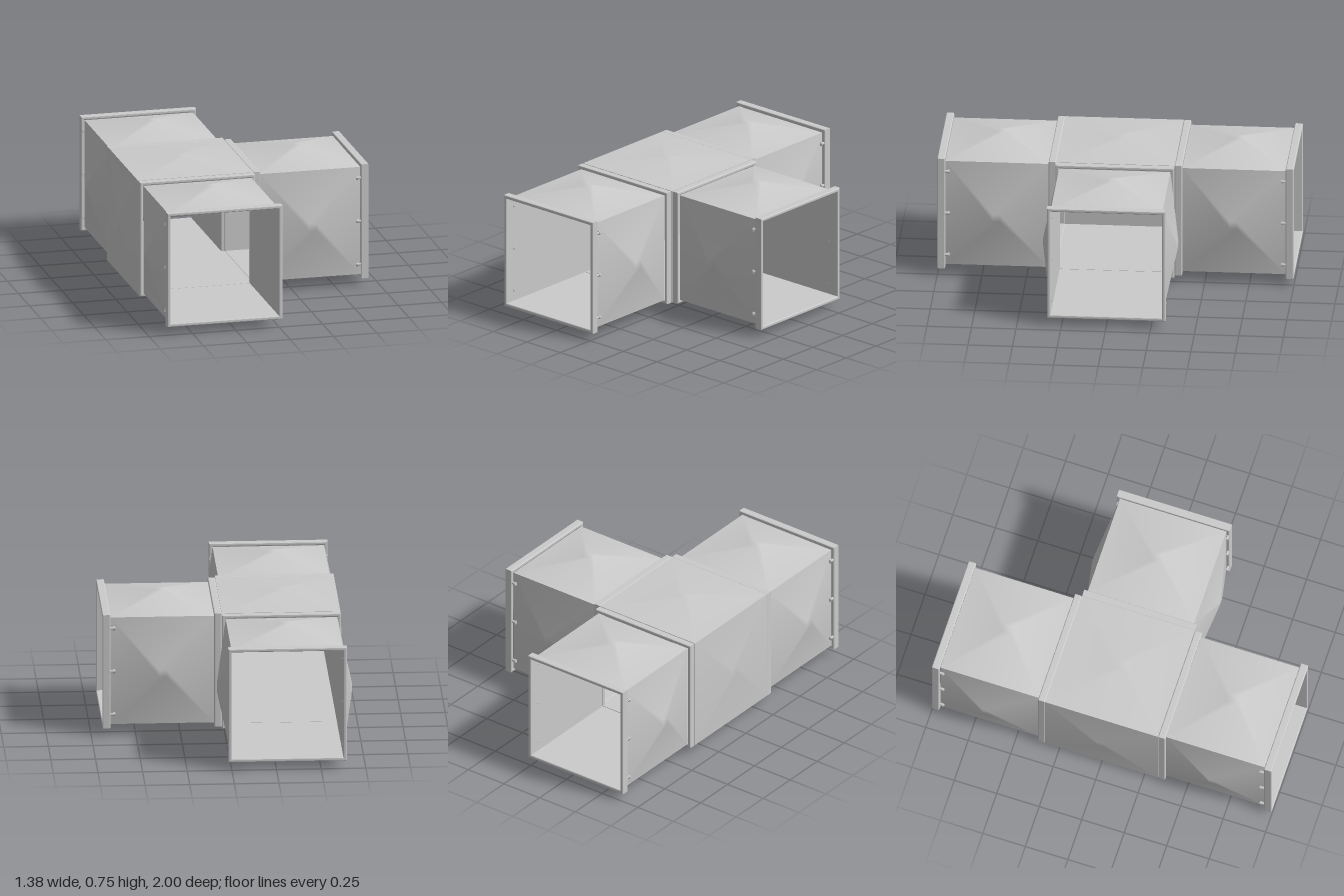
import * as THREE from 'three';

const IN = 0.3125, OUT = 0.3325;          // inner and outer half width of the duct
const START = OUT, END = 1.0;             // arm extent measured from the junction
const COLLAR = 0.042, FLANGE = 0.045;

const metal = new THREE.MeshStandardMaterial({ color: 0xcccccc });

function add(parent, name, geometry) {
  const mesh = new THREE.Mesh(geometry, metal);
  mesh.name = name;
  parent.add(mesh);
  return mesh;
}

// Shallow four-sided pyramid with a tiny blunt tip, rising along +y
function bulgedPanel(halfX, halfZ, rise) {
  const tip = 0.02, pos = [];
  for (const [x, z, y] of [[halfX, halfZ, 0], [tip, tip, rise]])
    pos.push(-x, y, -z, -x, y, z, x, y, z, x, y, -z);
  const index = [4, 5, 6, 4, 6, 7];
  for (let i = 0; i < 4; i++) {
    const j = (i + 1) % 4;
    index.push(i, j, 4 + j, i, 4 + j, 4 + i);
  }
  const g = new THREE.BufferGeometry();
  g.setAttribute('position', new THREE.Float32BufferAttribute(pos, 3));
  g.setIndex(index);
  g.computeVertexNormals();
  return g;
}

// Square frame with softened edges, from z = 0 to z = depth
function squareFrame(depth) {
  const square = (path, h) => path.moveTo(-h, -h).lineTo(h, -h).lineTo(h, h).lineTo(-h, h).closePath();
  const shape = new THREE.Shape();
  square(shape, OUT);
  const hole = new THREE.Path();
  square(hole, IN);
  shape.holes.push(hole);
  const b = 0.006;
  return new THREE.ExtrudeGeometry(shape, {
    depth: depth - 2 * b, bevelEnabled: true, bevelSize: b, bevelOffset: -b, bevelThickness: b, bevelSegments: 3,
  }).translate(0, 0, b);
}

// One arm running along +z
function makeArm(name) {
  const arm = new THREE.Group();
  arm.name = name;
  add(arm, 'collar', squareFrame(COLLAR)).position.z = START;
  add(arm, 'endFlange', squareFrame(FLANGE)).position.z = END - FLANGE;

  const from = START + COLLAR, to = END - FLANGE;
  const mid = (from + to) / 2, half = (to - from) / 2;
  for (let i = 0; i < 4; i++) {
    const side = new THREE.Group();
    side.name = 'ductSide';
    side.rotation.z = i * Math.PI / 2;
    arm.add(side);
    add(side, 'bulgedPanel', bulgedPanel(IN, half, 0.065)).position.set(0, IN, mid);
    // Flat lining facing the inside of the duct
    const lining = new THREE.PlaneGeometry(2 * IN, END - START - 0.01).rotateX(Math.PI / 2);
    add(side, 'innerLining', lining).position.set(0, IN - 0.0005, (START + END) / 2);
  }

  // Small bolts behind the flange on the two upright sides
  for (const s of [-1, 1]) for (const y of [-0.252, 0, 0.252]) {
    const shank = new THREE.CylinderGeometry(0.008, 0.008, 0.03, 8).rotateX(Math.PI / 2);
    add(arm, 'boltShank', shank).position.set(s * 0.322, y, to - 0.012);
    const head = new THREE.CylinderGeometry(0.012, 0.012, 0.009, 6).rotateX(Math.PI / 2);
    add(arm, 'boltHead', head).position.set(s * 0.322, y, to - 0.02);
  }
  return arm;
}

// Central box: closed above, below and on one side
function makeJunction() {
  const junction = new THREE.Group();
  junction.name = 'junction';
  const t = OUT - IN;
  for (const [name, angle] of [['top', 0], ['closedSide', Math.PI / 2], ['bottom', Math.PI]]) {
    const wall = new THREE.Group();
    wall.name = name;
    wall.rotation.z = angle;
    junction.add(wall);
    add(wall, name + 'Wall', new THREE.BoxGeometry(2 * OUT, t, 2 * OUT)).position.y = (IN + OUT) / 2;
    add(wall, name + 'Panel', bulgedPanel(OUT, OUT, 0.027)).position.y = OUT;
  }
  // Posts at the two inner corners
  for (const s of [-1, 1])
    add(junction, 'cornerPost', new THREE.BoxGeometry(t, 2 * IN, t)).position.set((IN + OUT) / 2, 0, s * (IN + OUT) / 2);
  return junction;
}

export function createModel() {
  const model = new THREE.Group();
  model.name = 'ductTeeJunction';
  const duct = new THREE.Group();
  duct.name = 'duct';
  duct.position.set(-0.3125, 0.3775, 0);
  model.add(duct);
  duct.add(makeJunction());
  ['frontArm', 'sideArm', 'backArm'].forEach((name, i) => {
    const arm = makeArm(name);
    arm.rotation.y = i * Math.PI / 2;
    duct.add(arm);
  });
  return model;
}
